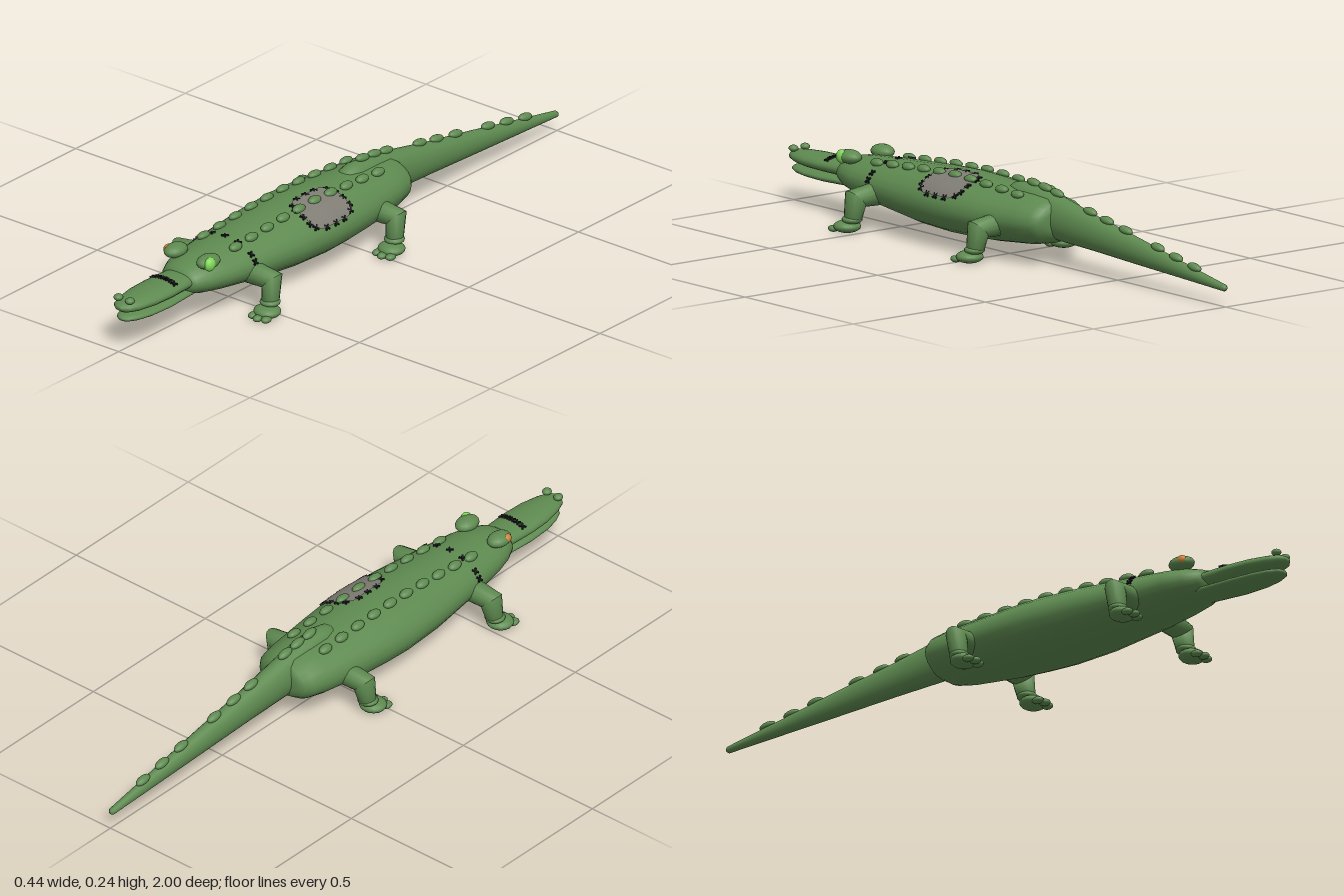
import * as THREE from 'three';

const mat = (name, color, side = THREE.FrontSide) => {
  const m = new THREE.MeshStandardMaterial({ color, side });
  m.name = name;
  return m;
};
const V = (x, y, z) => new THREE.Vector3(x, y, z);

// Skin a row of rings {c, u, v}; rings advance along u x v
function loft(rings, n = 24) {
  const pos = [], idx = [];
  for (const { c, u, v } of rings)
    for (let j = 0; j < n; j++) {
      const a = (j / n) * Math.PI * 2;
      const p = c.clone().addScaledVector(u, Math.cos(a)).addScaledVector(v, Math.sin(a));
      pos.push(p.x, p.y, p.z);
    }
  const last = rings.length - 1, c0 = rings.length * n, c1 = c0 + 1;
  pos.push(...rings[0].c.toArray(), ...rings[last].c.toArray());
  for (let j = 0; j < n; j++) {
    const k = (j + 1) % n;
    for (let i = 0; i < last; i++) {
      const a = i * n + j, b = i * n + k;
      idx.push(a, b, a + n, b, b + n, a + n);
    }
    idx.push(c0, k, j, c1, last * n + j, last * n + k);
  }
  const g = new THREE.BufferGeometry();
  g.setAttribute('position', new THREE.Float32BufferAttribute(pos, 3));
  g.setIndex(idx);
  g.computeVertexNormals();
  return g;
}

// Sections: [z, centre y, half width, half height]
const BODY = [
  [-0.24, 0.14, 0.06, 0.035], [-0.232, 0.139, 0.088, 0.055], [-0.21, 0.137, 0.105, 0.068],
  [-0.15, 0.134, 0.118, 0.077], [0, 0.13, 0.138, 0.087], [0.09, 0.13, 0.146, 0.091],
  [0.18, 0.13, 0.15, 0.093], [0.32, 0.13, 0.143, 0.088], [0.5, 0.133, 0.122, 0.073],
  [0.62, 0.137, 0.105, 0.06], [0.68, 0.138, 0.088, 0.052], [0.72, 0.138, 0.068, 0.04],
  [0.738, 0.138, 0.045, 0.028]];
const TAIL = [
  [-1, 0.06, 0.006, 0.006], [-0.994, 0.06, 0.011, 0.01], [-0.8, 0.082, 0.019, 0.024],
  [-0.6, 0.105, 0.027, 0.039], [-0.4, 0.127, 0.035, 0.052], [-0.24, 0.146, 0.043, 0.066],
  [-0.14, 0.162, 0.045, 0.066], [-0.07, 0.178, 0.044, 0.054], [-0.03, 0.186, 0.034, 0.038],
  [-0.01, 0.19, 0.018, 0.018]];
const UPPER_JAW = [
  [0.66, 0.142, 0.05, 0.024], [0.74, 0.142, 0.055, 0.026], [0.82, 0.142, 0.06, 0.025],
  [0.89, 0.142, 0.057, 0.024], [0.95, 0.142, 0.045, 0.021], [0.985, 0.143, 0.031, 0.016],
  [1, 0.144, 0.013, 0.007]];
const LOWER_JAW = [
  [0.66, 0.108, 0.046, 0.015], [0.82, 0.104, 0.053, 0.016], [0.9, 0.104, 0.049, 0.015],
  [0.95, 0.105, 0.038, 0.014], [0.98, 0.106, 0.024, 0.01], [0.99, 0.106, 0.01, 0.005]];

const loftZ = (s) => loft(s.map(([z, y, w, h]) => ({ c: V(0, y, z), u: V(w, 0, 0), v: V(0, h, 0) })));

function sectionAt(s, z) {
  let i = 0;
  while (i < s.length - 2 && s[i + 1][0] < z) i++;
  const t = (z - s[i][0]) / (s[i + 1][0] - s[i][0]);
  return s[i].map((a, k) => a + (s[i + 1][k] - a) * t);
}
// Point and outward normal on a sectioned skin
function onSkin(s, z, a, lift = 0) {
  const [, y, w, h] = sectionAt(s, z);
  const n = V(Math.cos(a) / w, Math.sin(a) / h, 0).normalize();
  return { p: V(Math.cos(a) * w, y + Math.sin(a) * h, z).addScaledVector(n, lift), n };
}

export function createModel() {
  const root = new THREE.Group();
  root.name = 'crocodile';
  const skin = mat('skinGreen', 0x5e8a50);
  const grey = mat('patchGrey', 0x7f7d74, THREE.DoubleSide);
  const black = mat('stitchBlack', 0x17171c);
  const lime = mat('eyeGreen', 0x7fd858);
  const orange = mat('eyeOrange', 0xd08038);

  const add = (name, geo, m) => {
    const mesh = new THREE.Mesh(geo, m);
    mesh.name = name;
    root.add(mesh);
    return mesh;
  };
  const ball = new THREE.SphereGeometry(1, 16, 12);
  const blob = (name, p, r, m = skin) => {
    const b = add(name, ball, m);
    b.position.set(...p);
    b.scale.set(...r);
    return b;
  };

  add('body', loftZ(BODY), skin);
  add('tail', loftZ(TAIL), skin);
  add('upperJaw', loftZ(UPPER_JAW), skin);
  add('lowerJaw', loftZ(LOWER_JAW), skin);

  // Legs with mitred knees, ankles, feet and toes
  const leg = (s, name, z) => {
    const knee = { c: V(s * 0.171, 0.108, z), u: V(s * 0.028, 0.027, 0), v: V(0, 0, s * 0.034) };
    add(name + 'Thigh', loft([
      { c: V(s * 0.08, 0.115, z), u: V(0, 0.037, 0), v: V(0, 0, s * 0.037) }, knee], 16), skin);
    add(name + 'Shin', loft([knee,
      { c: V(s * 0.173, 0.045, z + 0.01), u: V(s * 0.026, 0, 0), v: V(0, 0, s * 0.028) }], 16), skin);
    blob(name + 'Ankle', [s * 0.174, 0.046, z + 0.012], [0.031, 0.014, 0.031]);
    blob(name + 'Foot', [s * 0.178, 0.023, z + 0.03], [0.042, 0.019, 0.04]);
    for (const t of [-1, 0, 1])
      blob(name + 'Toe', [s * 0.178 + t * 0.025, 0.014, z + (t ? 0.064 : 0.072)], [0.014, 0.01, 0.018]);
  };
  for (const s of [1, -1]) {
    const side = s > 0 ? 'left' : 'right';
    leg(s, side + 'Front', 0.505);
    leg(s, side + 'Back', -0.062);
    blob(side + 'EyeSocket', [s * 0.062, 0.195, 0.665], [0.031, 0.021, 0.042]);
    blob(side + 'Nostril', [s * 0.022, 0.165, 0.975], [0.014, 0.01, 0.015]);
    // Back scutes
    for (let i = 0; i < 10; i++) {
      const z = -0.11 + i * 0.0722;
      const a = Math.acos((s * 0.06) / sectionAt(BODY, z)[2]);
      const { p, n } = onSkin(BODY, z, a, 0.004);
      blob('backScute', p.toArray(), [0.015, 0.012, 0.025]).rotation.z = Math.atan2(-n.x, n.y);
    }
  }
  blob('leftEye', [0.08, 0.195, 0.68], [0.015, 0.021, 0.02], lime);
  blob('rightEye', [-0.081, 0.198, 0.678], [0.012, 0.014, 0.016], orange);

  // Tail scutes
  for (const z of [-0.855, -0.77, -0.685, -0.537, -0.45, -0.373, -0.22, -0.165, -0.112]) {
    const { p } = onSkin(TAIL, z, Math.PI / 2, 0.004);
    blob('tailScute', p.toArray(), [0.014, 0.012, 0.028]).rotation.x = -0.15;
  }

  // Cross stitches lying on the skin
  const thread = new THREE.BoxGeometry(0.022, 0.005, 0.005);
  const stitch = (s, z, a) => {
    const { p, n } = onSkin(s, z, a, 0.002);
    const g = new THREE.Group();
    g.name = 'stitch';
    g.up.set(0, 0, 1);
    g.position.copy(p);
    g.lookAt(p.clone().add(n));
    for (const r of [1, -1]) {
      const m = new THREE.Mesh(thread, black);
      m.name = 'thread';
      m.rotation.z = (r * Math.PI) / 4;
      g.add(m);
    }
    root.add(g);
  };
  for (const x of [-0.1, -0.05, 0, 0.05, 0.1]) stitch(BODY, 0.515, Math.acos(x / 0.121));
  for (const a of [0.3, Math.PI - 0.3]) stitch(BODY, 0.515, a);
  for (const x of [-0.04, -0.02, 0, 0.02, 0.04]) stitch(UPPER_JAW, 0.795, Math.acos(x / 0.06));

  // Sewn patch on the left flank, with clipped corners
  const Z0 = 0.085, Z1 = 0.265, A0 = 0.4, A1 = 1.42;
  const edge = (z) => 0.2 * Math.max(0, 1 - Math.min(z - Z0, Z1 - z) / 0.03);
  const rows = 12, cols = 14, pos = [], idx = [];
  for (let i = 0; i <= rows; i++) {
    const z = Z0 + ((Z1 - Z0) * i) / rows, e = edge(z);
    for (let j = 0; j <= cols; j++) {
      const a = A0 + e + ((A1 - A0 - 2 * e) * j) / cols;
      pos.push(...onSkin(BODY, z, a, 0.004).p.toArray());
      if (i < rows && j < cols) {
        const k = i * (cols + 1) + j, d = k + cols + 1;
        idx.push(k, k + 1, d, k + 1, d + 1, d);
      }
    }
  }
  const patch = new THREE.BufferGeometry();
  patch.setAttribute('position', new THREE.Float32BufferAttribute(pos, 3));
  patch.setIndex(idx.reverse());
  patch.computeVertexNormals();
  add('patch', patch, grey);
  for (let i = 0; i < 5; i++) {
    const z = Z0 + 0.012 + ((Z1 - Z0 - 0.024) * i) / 4;
    stitch(BODY, z, A0 + edge(z));
    stitch(BODY, z, A1 - edge(z));
  }
  for (let j = 0; j < 3; j++)
    for (const z of [Z0, Z1]) stitch(BODY, z, A0 + 0.27 + j * 0.24);

  return root;
}
